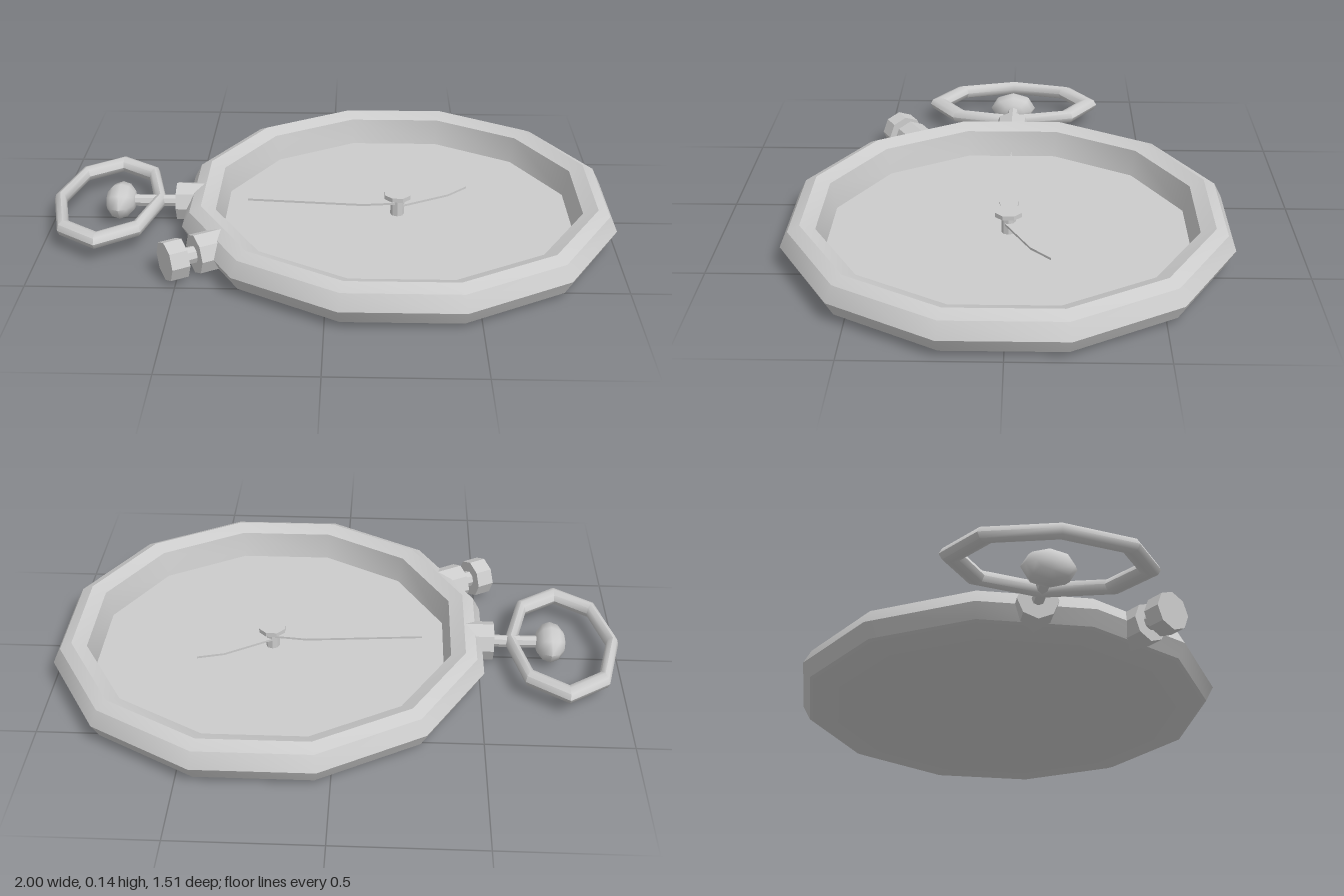
import * as THREE from 'three';
import { toCreasedNormals } from 'three/addons/utils/BufferGeometryUtils.js';

const CX = 0.245; // centre of the watch body
const MID = 0.072; // mid height of the case

export function createModel() {
  const group = new THREE.Group();
  const material = new THREE.MeshStandardMaterial({ color: 0xcccccc });

  function add(name, geometry, parent = group, crease = 0.56) {
    const mesh = new THREE.Mesh(toCreasedNormals(geometry, crease), material);
    mesh.name = name;
    parent.add(mesh);
    return mesh;
  }

  // Twelve-sided case: bevelled rim around a sunken dial, widths given across the flats
  const k = 1 / Math.cos(Math.PI / 12);
  const ring = (points) => new THREE.LatheGeometry(
    points.map(([r, y]) => new THREE.Vector2(r * k, y)), 12, Math.PI / 12);
  const caseMesh = add('case', ring([
    [0, 0], [0.685, 0], [0.728, 0.02], [0.755, MID], [0.728, 0.125],
    [0.688, 0.145], [0.638, 0.125], [0.618, 0.03],
  ]));
  caseMesh.position.x = CX;
  const dial = add('dial', ring([[0.62, 0.03], [0, 0.03]]));
  dial.position.x = CX;

  // Cylinder lying along the +x axis of its parent, from distance a to b
  function rod(name, parent, r, a, b, sides) {
    const g = new THREE.CylinderGeometry(r, r, b - a, sides);
    g.rotateZ(-Math.PI / 2);
    g.translate((a + b) / 2, 0, 0);
    return add(name, g, parent, 0.5);
  }

  // Arm pointing outward from the body centre
  function arm(name, angle) {
    const g = new THREE.Group();
    g.name = name;
    g.position.set(CX, MID, 0);
    g.rotation.y = angle;
    group.add(g);
    return g;
  }

  // Crown with its stem and ball
  const crown = arm('crown', Math.PI);
  rod('crownCollar', crown, 0.07, 0.69, 0.795, 8);
  rod('crownStem', crown, 0.022, 0.78, 0.97, 8);
  const ballGeometry = new THREE.SphereGeometry(1, 8, 6);
  ballGeometry.rotateZ(Math.PI / 2);
  ballGeometry.scale(0.056, 0.063, 0.09);
  const ball = add('crownBall', ballGeometry, crown, 1.2);
  ball.position.x = 1.0;

  // Side push button
  const button = arm('pushButton', Math.PI + Math.PI / 6);
  rod('buttonCollar', button, 0.07, 0.69, 0.795, 8);
  rod('buttonNeck', button, 0.03, 0.78, 0.85, 8);
  rod('buttonHead', button, 0.07, 0.838, 0.902, 8);

  // Oval hanging bow
  const bowGeometry = new THREE.TorusGeometry(1, 0.122, 8, 8);
  bowGeometry.rotateX(Math.PI / 2);
  bowGeometry.scale(0.182, 0.225, 0.308);
  const bow = add('bow', bowGeometry, group, 0.85);
  bow.position.set(-0.795, MID, 0);

  // Hands: thin tapered blades pointing along +x before turning
  function hand(name, length, belly, width, y, angle) {
    const shape = new THREE.Shape([
      [0, -0.02], [belly, -width], [length, 0], [belly, width], [0, 0.02],
    ].map(([x, z]) => new THREE.Vector2(x, z)));
    const g = new THREE.ExtrudeGeometry(shape, { depth: 0.008, bevelEnabled: false });
    g.rotateX(-Math.PI / 2);
    const mesh = add(name, g);
    mesh.position.set(CX, y, 0);
    mesh.rotation.y = angle;
  }
  hand('minuteHand', 0.54, 0.125, 0.034, 0.075, Math.PI);
  hand('hourHand', 0.295, 0.2, 0.025, 0.063, 0.51);

  // Centre pin and cap
  const pin = add('handPin', new THREE.CylinderGeometry(0.025, 0.025, 0.07, 8));
  pin.position.set(CX, 0.063, 0);
  const cap = add('handCap', new THREE.CylinderGeometry(0.05, 0.05, 0.016, 8).rotateY(Math.PI / 8));
  cap.position.set(CX, 0.104, 0);

  return group;
}
